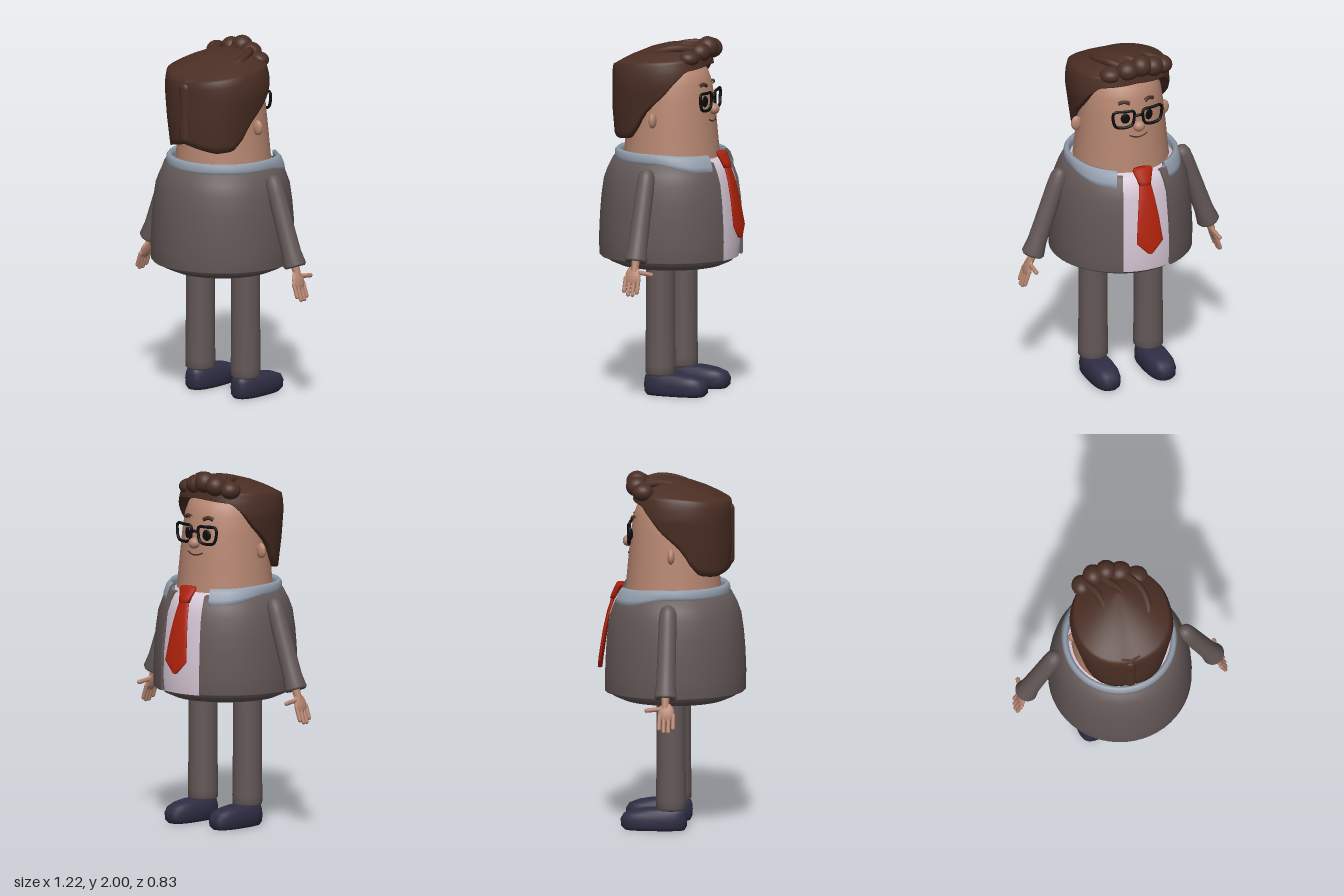
import * as THREE from 'three';

const mat = (name, color, side = THREE.FrontSide) => {
  const m = new THREE.MeshStandardMaterial({ color, side });
  m.name = name;
  return m;
};

// Linear lookup in a list of [key, value] pairs
function table(pairs, k) {
  if (k <= pairs[0][0]) return pairs[0][1];
  for (let i = 1; i < pairs.length; i++) {
    const [k0, v0] = pairs[i - 1], [k1, v1] = pairs[i];
    if (k <= k1) return v0 + (v1 - v0) * (k - k0) / (k1 - k0);
  }
  return pairs[pairs.length - 1][1];
}

// Skin a stack of closed rings; ring(i, phi) gives a point, phi = 0 is +z, rings go upward
function loft(count, ring, n = 48) {
  const pos = [], idx = [];
  for (let i = 0; i < count; i++)
    for (let j = 0; j < n; j++) pos.push(...ring(i, j / n * Math.PI * 2));
  for (let i = 0; i < count - 1; i++)
    for (let j = 0; j < n; j++) {
      const k = (j + 1) % n, a = i * n + j, b = i * n + k;
      idx.push(a, b, b + n, a, b + n, a + n);
    }
  const g = new THREE.BufferGeometry();
  g.setAttribute('position', new THREE.Float32BufferAttribute(pos, 3));
  g.setIndex(idx);
  g.computeVertexNormals();
  return g;
}

const vec = p => new THREE.Vector3(...p);
const lathe = (pts, start = 0, length = Math.PI * 2) =>
  new THREE.LatheGeometry(pts.map(p => new THREE.Vector2(...p)), 48, start, length);
const tube = (pts, r, closed = false) =>
  new THREE.TubeGeometry(new THREE.CatmullRomCurve3(pts.map(vec), closed), 32, r, 8, closed);

export function createModel() {
  const model = new THREE.Group();
  const suit = mat('suit grey', 0x625756, THREE.DoubleSide);
  const shirtMat = mat('shirt white', 0xd6c6d4);
  const collarMat = mat('collar blue grey', 0x939eac, THREE.DoubleSide);
  const skin = mat('skin', 0xb58570);
  const hairMat = mat('hair brown', 0x4a2e24);
  const tieMat = mat('tie red', 0xb0220c);
  const shoeMat = mat('shoe navy', 0x2f2d44);
  const black = mat('glasses black', 0x0b0b0c);

  const add = (name, geo, m, p = [0, 0, 0], parent = model) => {
    const mesh = new THREE.Mesh(geo, m);
    mesh.name = name;
    mesh.position.set(...p);
    parent.add(mesh);
    return mesh;
  };
  const ball = (name, m, p, s, parent) => {
    const b = add(name, new THREE.SphereGeometry(1, 24, 16), m, p, parent);
    b.scale.set(...s);
    return b;
  };

  // Torso: rounded trouser seat, shirt, and a jacket open at the front (-z)
  const bodyZ = [0, 0, 0.015];
  add('trouserSeat', lathe([[0, 0.7], [0.2, 0.703], [0.29, 0.718], [0.345, 0.742], [0.37, 0.77], [0.37, 0.8]]), suit, bodyZ);
  add('shirt', lathe([[0.378, 0.765], [0.385, 0.85], [0.38, 1], [0.36, 1.2], [0.335, 1.27], [0.312, 1.31], [0.26, 1.335]]), shirtMat, bodyZ);
  const jacketProfile = [[0.372, 0.775], [0.392, 0.766], [0.4, 0.775], [0.401, 0.88], [0.396, 1], [0.388, 1.1],
    [0.374, 1.2], [0.352, 1.26], [0.324, 1.315], [0.29, 1.32]];
  const gap = 0.37;
  add('jacket', lathe(jacketProfile, Math.PI + gap, Math.PI * 2 - gap * 2), suit, bodyZ);
  for (const s of [-1, 1]) {
    const edge = new THREE.ShapeGeometry(new THREE.Shape(jacketProfile.map(p => new THREE.Vector2(...p))));
    edge.rotateY(Math.PI + s * gap - Math.PI / 2);
    add('jacketEdge', edge, suit, bodyZ);
  }

  // Collar: rounded band that deepens and flares toward its open front ends
  const collar = lathe([[0.285, 1.32], [0.3, 1.308], [0.315, 1.312], [0.32, 1.33], [0.318, 1.358], [0.307, 1.372],
    [0.292, 1.37], [0.285, 1.35], [0.285, 1.32]], Math.PI + 0.48, Math.PI * 2 - 0.96);
  const cp = collar.attributes.position;
  for (let i = 0; i < cp.count; i++) {
    const f = THREE.MathUtils.smoothstep(-cp.getZ(i), 0, 0.26);
    const low = (1.372 - cp.getY(i)) / 0.064;
    const flare = 1 + 0.1 * f * low;
    cp.setXYZ(i, cp.getX(i) * flare, cp.getY(i) - f * (0.012 + 0.03 * low), cp.getZ(i) * flare);
  }
  collar.computeVertexNormals();
  add('collar', collar, collarMat, [0, 0, 0.008]);

  // Tie: rows of [y, half width, z]
  const tieLoft = (rows, depth) => loft(rows.length, (i, a) =>
    [rows[i][1] * Math.sin(a), rows[i][0], rows[i][2] + Math.min(depth, rows[i][1]) * Math.cos(a)], 24);
  add('tieBlade', tieLoft([[0.88, 0, -0.4], [0.885, 0.015, -0.4], [0.95, 0.08, -0.393], [1.1, 0.063, -0.37],
    [1.2, 0.048, -0.348], [1.29, 0.034, -0.32]], 0.013), tieMat);
  add('tieKnot', tieLoft([[1.272, 0, -0.322], [1.275, 0.036, -0.322], [1.3, 0.043, -0.314], [1.35, 0.06, -0.292],
    [1.362, 0.055, -0.286], [1.364, 0, -0.284]], 0.022), tieMat);

  // Head: a tapering column, with a matching helper for the face surface
  const headR = [[1.25, 0.278], [1.37, 0.264], [1.5, 0.252], [1.65, 0.237], [1.75, 0.222], [1.81, 0.2], [1.85, 0.16], [1.88, 0.08], [1.885, 0]];
  add('head', lathe(headR.map(([y, r]) => [r, y])), skin, [0, 0, 0.01]);
  const faceZ = (x, y) => 0.01 - Math.sqrt(table(headR, y) ** 2 - x * x);
  ball('nose', skin, [0, 1.6, -0.243], [0.034, 0.031, 0.03]);
  add('mouth', tube([-0.055, -0.03, 0, 0.03, 0.055].map(x => {
    const y = 1.533 + 5 * x * x;
    return [x, y, faceZ(x, y) - 0.001];
  }), 0.004), hairMat);

  // Glasses, eyes, brows and ears on both sides
  const lensZ = x => -0.238 + 0.8 * x * x;
  for (const s of [-1, 1]) {
    const frame = [[-0.052, 0.042], [0, 0.047], [0.06, 0.045], [0.066, 0.01], [0.05, -0.04], [0, -0.05], [-0.043, -0.038], [-0.055, 0]];
    add('glassesFrame', tube(frame.map(([x, y]) => [s * (0.082 + x), 1.65 + y, lensZ(0.082 + x)]), 0.0085, true), black);
    const eye = ball('eye', black, [s * 0.072, 1.648, faceZ(0.072, 1.648) - 0.001], [0.026, 0.032, 0.006]);
    eye.rotation.y = -s * 0.3;
    add('eyebrow', tube([0.045, 0.075, 0.105].map((x, i) => {
      const y = 1.735 + (i === 1 ? 0.01 : 0);
      return [s * x, y, faceZ(x, y) - 0.006];
    }), 0.011), hairMat);
    ball('ear', skin, [s * 0.265, 1.555, 0.02], [0.032, 0.043, 0.02]);
  }
  add('glassesBridge', tube([[-0.03, 1.662, -0.237], [0, 1.668, -0.242], [0.03, 1.662, -0.237]], 0.0085), black);

  // Hair: shell from a shaped hairline (angle from the back) up to the rim, then a domed crown
  const hairline = [[0, 1.475], [0.4, 1.452], [0.75, 1.432], [1.15, 1.44], [1.35, 1.49], [1.55, 1.59], [1.7, 1.64],
    [1.9, 1.69], [2.15, 1.77], [2.4, 1.83], [3.2, 1.85]];
  const rim = [[0, 1.825], [0.8, 1.85], [1.6, 1.875], [3.2, 1.895]];
  const halfX = [[1.43, 0.238], [1.6, 0.262], [1.76, 0.287], [1.83, 0.28], [1.9, 0.26]];
  const backZ = [[1.43, 0.33], [1.6, 0.342], [1.8, 0.338], [1.9, 0.325]];
  const frontZ = [[1.43, -0.21], [1.8, -0.22], [1.9, -0.205]];
  const crown = [0.96, 0.85, 0.7, 0.5, 0.25, 0];
  const walls = 12;
  const hair = loft(walls + 1 + crown.length, (i, phi) => {
    const a = phi > Math.PI ? Math.PI * 2 - phi : phi;
    const top = table(rim, a), low = table(hairline, a);
    const t = Math.min(Math.max(0, (i - 1) / (walls - 1)), 1);
    const y = low + (top - low) * t;
    const zb = table(backZ, y), zf = table(frontZ, y);
    const s = i === 0 ? 0.72 : i > walls ? crown[i - walls - 1] : 1;
    const box = v => Math.sign(v) * Math.abs(v) ** 0.9;
    const mid = (zb + zf) / 2;
    const z = mid + box(Math.cos(phi)) * (zb - zf) / 2 * s - (i > walls ? 0.1 * (1 - s) : 0);
    const lift = i > walls ? (1.965 - top) * (1 - s ** 1.8) : 0;
    return [box(Math.sin(phi)) * table(halfX, y) * s, y + lift, z];
  }, 64);
  add('hair', hair, hairMat);
  const seam = add('hairBackSeam', new THREE.CapsuleGeometry(0.034, 0.28, 6, 16), hairMat, [-0.005, 1.65, 0.326]);
  seam.scale.z = 0.75;
  for (const s of [-1, 1])
    add('hairRimRidge', tube([[s * 0.25, 1.865, 0.08], [s * 0.2, 1.85, 0.2], [s * 0.1, 1.838, 0.28], [0, 1.822, 0.322]], 0.016), hairMat);
  // Swept strands over the crown
  for (const [x, bend] of [[-0.13, 0.04], [-0.02, 0.07], [0.1, 0.05]])
    add('hairStrand', tube([[x - 0.04, 1.935, -0.15], [x + bend * 0.4, 1.945, -0.07], [x + bend, 1.925, 0.03], [x + bend * 0.7, 1.88, 0.14]], 0.022), hairMat);
  // Rolled quiff above the forehead
  for (const [x, y, z, rx, ry] of [[-0.185, 1.905, -0.145, 0.055, 0.05], [-0.11, 1.925, -0.185, 0.058, 0.056],
    [-0.035, 1.94, -0.19, 0.06, 0.06], [0.04, 1.92, -0.175, 0.065, 0.055], [0.125, 1.895, -0.14, 0.065, 0.045]])
    ball('quiff', hairMat, [x, y, z], [rx, ry, 0.06]);

  // Arms with flared cuffs and flat hands
  for (const s of [-1, 1]) {
    const arm = new THREE.Group();
    arm.name = s > 0 ? 'leftArm' : 'rightArm';
    arm.position.set(s * 0.375, 1.255, 0.013);
    arm.rotation.z = s * 0.34;
    model.add(arm);
    add('sleeve', lathe([[0, -0.475], [0.055, -0.485], [0.064, -0.472], [0.054, -0.4], [0.052, -0.28], [0.05, -0.06],
      [0.047, 0], [0.035, 0.03], [0.018, 0.042], [0, 0.045]]), suit, [0, 0, 0], arm);
    add('wrist', new THREE.CylinderGeometry(0.024, 0.02, 0.08, 16), skin, [0, -0.5, 0], arm);
    ball('palm', skin, [0, -0.56, 0.006], [0.017, 0.055, 0.045], arm);
    [[0.047, 0.655], [0.021, 0.675], [-0.005, 0.675], [-0.03, 0.66]].forEach(([z, tip]) => {
      const len = tip - 0.57;
      add('finger', new THREE.CapsuleGeometry(0.0115, len - 0.012, 4, 10), skin, [0, -0.57 - len / 2, z], arm);
    });
    const thumb = add('thumb', new THREE.CapsuleGeometry(0.0125, 0.075, 4, 10), skin, [0, -0.545, -0.065], arm);
    thumb.rotation.x = Math.PI / 2 - 0.12;
  }

  // Legs and shoes; shoe rows are [y, half width, heel z, toe z]
  const shoe = [[0, 0, -0.08, -0.08], [0, 0.066, 0.088, -0.245], [0.02, 0.08, 0.1, -0.266], [0.06, 0.082, 0.103, -0.27], [0.09, 0.076, 0.1, -0.252],
    [0.11, 0.066, 0.095, -0.2], [0.121, 0.05, 0.08, -0.14], [0.122, 0, 0, 0]];
  const square = v => Math.sign(v) * Math.abs(v) ** 0.75;
  for (const s of [-1, 1]) {
    add('trouserLeg', lathe([[0, 0.112], [0.072, 0.112], [0.083, 0.125], [0.084, 0.17], [0.081, 0.4], [0.081, 0.76]]), suit, [s * 0.168, 0, 0.012]);
    add('shoe', loft(shoe.length, (i, a) => {
      const [y, w, zb, zf] = shoe[i];
      return [w * square(Math.sin(a)), y, (zb + zf) / 2 + (zb - zf) / 2 * square(Math.cos(a))];
    }), shoeMat, [s * 0.168, 0, 0]);
  }
  return model;
}
